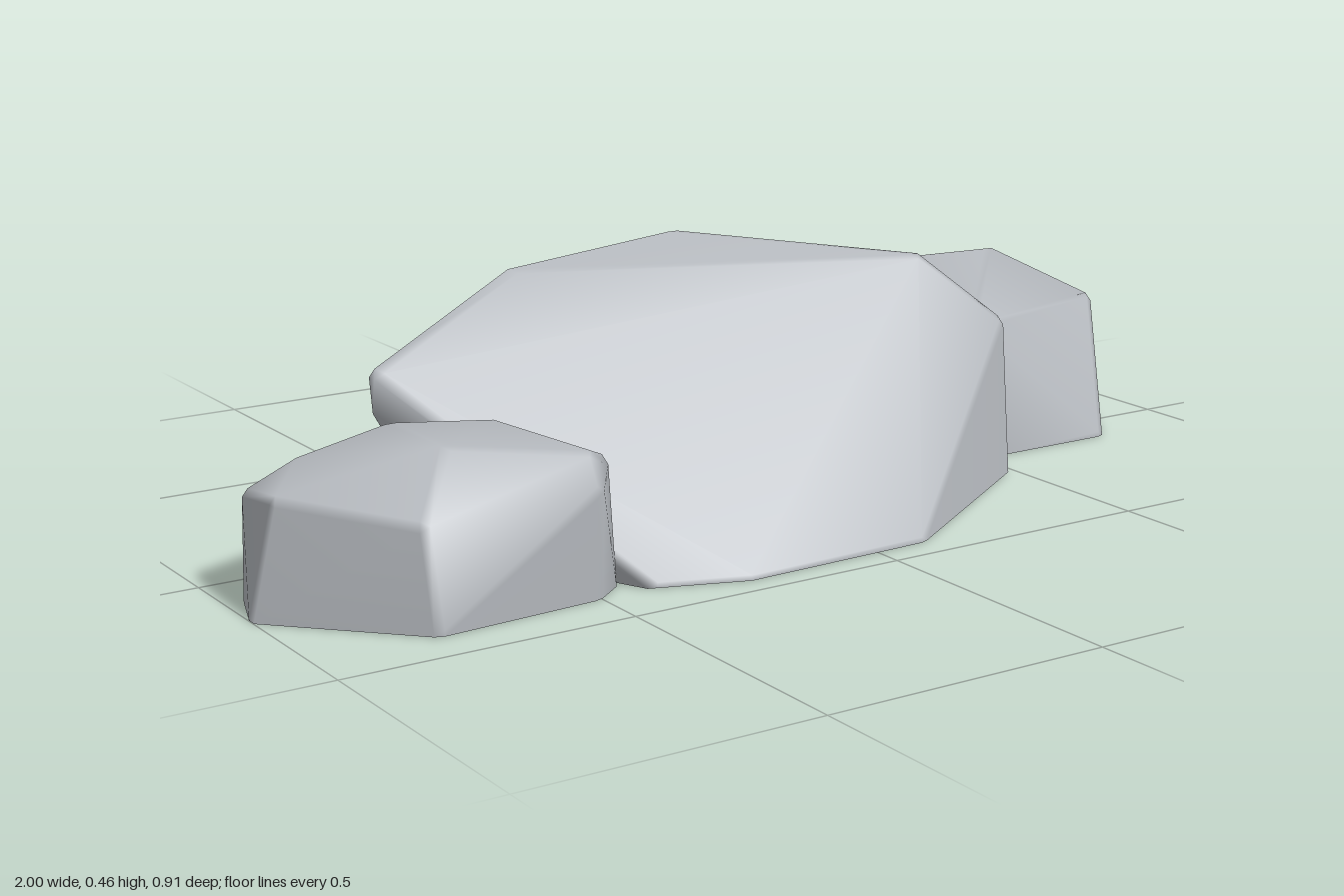
import * as THREE from 'three';
import { mergeVertices } from 'three/addons/utils/BufferGeometryUtils.js';
import { ConvexGeometry } from 'three/addons/geometries/ConvexGeometry.js';

// Convex boulder: each corner becomes a tiny ball, so the hull has worn, rounded edges
function boulder(name, corners, material, radius = 0.018) {
  const pts = corners.map((c) => new THREE.Vector3(...c));
  const centre = new THREE.Box3().setFromPoints(pts).getCenter(new THREE.Vector3());
  const ball = new THREE.IcosahedronGeometry(radius, 0).getAttribute('position');
  const cloud = [];
  for (const p of pts) {
    const grounded = p.y < 0.001;
    const inner = p.clone().add(centre.clone().sub(p).setLength(radius));
    if (grounded) inner.y = 0;
    const seen = new Set();
    for (let i = 0; i < ball.count; i++) {
      const v = new THREE.Vector3().fromBufferAttribute(ball, i).add(inner);
      v.y = Math.max(0, v.y);
      const key = v.toArray().map((n) => n.toFixed(4)).join();
      if (!seen.has(key)) cloud.push(v);
      seen.add(key);
    }
  }
  let geo = new ConvexGeometry(cloud);

  // Keep the flat base sharp, smooth everything else with area-weighted normals
  const pos = geo.getAttribute('position');
  const base = new Float32Array(pos.count);
  for (let i = 0; i < pos.count; i += 3) {
    const flat = Math.max(pos.getY(i), pos.getY(i + 1), pos.getY(i + 2)) < 1e-4;
    base.fill(flat ? 1 : 0, i, i + 3);
  }
  geo.deleteAttribute('normal');
  geo.setAttribute('base', new THREE.BufferAttribute(base, 1));
  geo = mergeVertices(geo, 1e-5);
  geo.deleteAttribute('base');
  geo.computeVertexNormals();

  const mesh = new THREE.Mesh(geo, material);
  mesh.name = name;
  return mesh;
}

export function createModel() {
  const stone = new THREE.MeshStandardMaterial({ color: 0xb6babf });
  stone.name = 'grey stone';
  const group = new THREE.Group();
  group.name = 'rocks';

  // Large middle rock
  group.add(boulder('middleRock', [
    // base
    [-0.41, 0, 0.40], [-0.26, 0, 0.455], [0.10, 0, 0.445], [0.485, 0, 0.19], [0.47, 0, 0.04],
    [0.40, 0, -0.15], [0.22, 0, -0.31], [-0.38, 0, -0.33], [-0.57, 0, 0.06],
    // shoulders
    [-0.71, 0.25, 0.05], [-0.71, 0.31, 0.04], [0.49, 0.27, 0.16], [0.40, 0.31, -0.14],
    // crown
    [-0.40, 0.425, -0.075], [-0.05, 0.455, -0.10], [0.32, 0.405, 0.14], [0.00, 0.40, -0.225],
  ], stone));

  // Rock on the left side
  group.add(boulder('leftRock', [
    // base
    [0.48, 0, 0.10], [0.79, 0, 0.10], [1.0, 0, -0.20], [0.74, 0, -0.435], [0.62, 0, -0.44],
    [0.36, 0, -0.39], [0.25, 0, -0.28],
    // sides
    [0.97, 0.20, -0.15], [0.74, 0.14, -0.445], [0.63, 0.14, -0.46], [0.36, 0.20, -0.42],
    [0.25, 0.22, -0.32], [0.48, 0.245, 0.10],
    // crown
    [0.75, 0.32, -0.19], [0.50, 0.315, -0.24],
  ], stone));

  // Small rock on the right side
  group.add(boulder('rightRock', [
    // base
    [-1.0, 0, 0.20], [-0.97, 0, 0.11], [-0.88, 0, 0.07], [-0.60, 0, 0.02], [-0.44, 0, 0.20],
    [-0.45, 0, 0.36], [-0.50, 0, 0.40], [-0.79, 0, 0.42],
    // sides
    [-0.96, 0.18, 0.20], [-0.95, 0.16, 0.07], [-0.68, 0.18, -0.03], [-0.80, 0.16, 0.40],
    [-0.50, 0.18, 0.41], [-0.45, 0.20, 0.34],
    // crown
    [-0.90, 0.225, 0.15], [-0.72, 0.255, 0.12], [-0.70, 0.25, 0.29], [-0.56, 0.245, 0.18],
    [-0.49, 0.22, 0.37],
  ], stone));

  return group;
}
